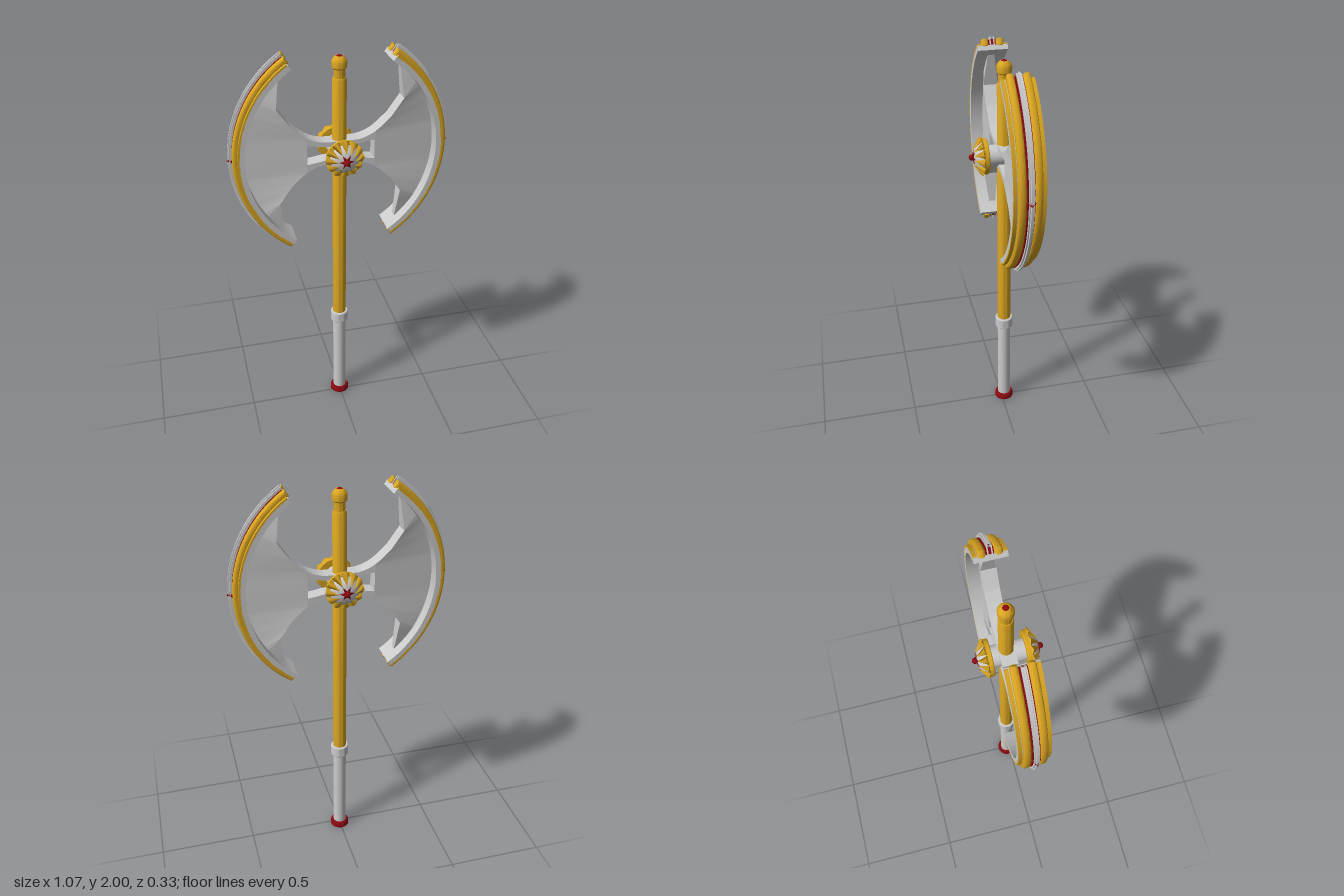
import * as THREE from 'three';
import { toCreasedNormals } from 'three/addons/utils/BufferGeometryUtils.js';

const grey = new THREE.MeshStandardMaterial({ color: 0xcccccc });
const gold = new THREE.MeshStandardMaterial({ color: 0xdaa520 });
const red = new THREE.MeshStandardMaterial({ color: 0x8b0a10 });

const Z0 = -0.016;      // centre plane of shaft and blades
const HUB = 1.51;       // height of the hub
const ARC_X = -0.067;   // centre of the blade's cutting arc
const ARC_R = 0.597;
const V = (r, y) => new THREE.Vector2(r, y);
const rad = THREE.MathUtils.degToRad;

function add(parent, name, geometry, material, x = 0, y = 0, z = 0) {
  const mesh = new THREE.Mesh(geometry, material);
  mesh.name = name;
  mesh.position.set(x, y, z);
  parent.add(mesh);
  return mesh;
}

function lathe(points, segments = 32) {
  return toCreasedNormals(new THREE.LatheGeometry(points.map(p => V(...p)), segments), 0.6);
}

// Curved strip following the cutting arc, between two radii and two depths
function arcStrip(r0, r1, z0, z1, degrees, bevel = 0) {
  const a = rad(degrees);
  const shape = new THREE.Shape();
  shape.absarc(0, 0, r1 - bevel, -a, a, false);
  shape.absarc(0, 0, r0 + bevel, a, -a, true);
  shape.closePath();
  const g = new THREE.ExtrudeGeometry(shape, {
    depth: z1 - z0 - 2 * bevel, curveSegments: 32, bevelEnabled: bevel > 0,
    bevelSize: bevel, bevelThickness: bevel, bevelSegments: 3,
  });
  return toCreasedNormals(g.translate(ARC_X, 0, z0 + bevel), 0.6);
}

// Blade: thick inner outline lofted to a thin cutting edge
function bladeGeometry() {
  // x, y, half thickness, angle on the arc
  const half = [
    [0.268, 0.49, 0.004, 55.6], [0.3, 0.24, 0.036, 33], [0.24, 0.155, 0.036, 23],
    [0.195, 0.113, 0.036, 16], [0.163, 0.088, 0.036, 10],
  ];
  const keys = [...half, ...half.map(([x, y, h, a]) => [x, -y, h, -a]).reverse()];
  const pos = [], index = [];
  const steps = 5;
  let rows = 0;
  for (let k = 0; k < keys.length - 1; k++) {
    for (let s = k ? 1 : 0; s <= steps; s++) {
      const [x, y, h, deg] = keys[k].map((v, i) => THREE.MathUtils.lerp(v, keys[k + 1][i], s / steps));
      const ox = ARC_X + ARC_R * Math.cos(rad(deg)), oy = ARC_R * Math.sin(rad(deg));
      pos.push(x, y, h, ox, oy, 0.004, ox, oy, -0.004, x, y, -h);
      rows++;
    }
  }
  for (let i = 0; i < rows - 1; i++) {
    for (let j = 0; j < 4; j++) {
      const a = i * 4 + j, b = i * 4 + (j + 1) % 4;
      index.push(a, a + 4, b, b, a + 4, b + 4);
    }
  }
  const g = new THREE.BufferGeometry();
  g.setAttribute('position', new THREE.Float32BufferAttribute(pos, 3));
  g.setIndex(index);
  return toCreasedNormals(g, 0.5);
}

// Curved arm joining the hub to one corner of the blade neck
function armGeometry() {
  const s = new THREE.Shape();
  s.moveTo(0, 0.055);
  s.lineTo(0.08, 0.058);
  s.quadraticCurveTo(0.125, 0.064, 0.165, 0.09);
  s.lineTo(0.165, 0.048);
  s.quadraticCurveTo(0.12, 0.043, 0.08, 0.035);
  s.lineTo(0, 0.03);
  s.closePath();
  return new THREE.ExtrudeGeometry(s, { depth: 0.072, bevelEnabled: false }).translate(0, 0, -0.036);
}

function bladeSide() {
  const side = new THREE.Group();
  add(side, 'blade', bladeGeometry(), grey);
  const arm = armGeometry();
  add(side, 'upperArm', arm, grey);
  add(side, 'lowerArm', arm, grey).rotation.x = Math.PI;

  // Rim: wide band, outer skins, raised ribs and a centre core
  add(side, 'rimBand', arcStrip(0.525, 0.55, -0.0725, 0.0725, 55.5), grey);
  add(side, 'rimCore', arcStrip(0.545, 0.578, -0.017, 0.017, 55), red);
  for (const s of [-1, 1]) {
    const z = (a, b) => s > 0 ? [a, b] : [-b, -a];
    add(side, 'rimSkin', arcStrip(0.548, 0.558, ...z(0.056, 0.0725), 55), gold);
    add(side, 'rimRib', arcStrip(0.545, 0.58, ...z(0.019, 0.053), 55, 0.011), gold);
    add(side, 'edgeGuard', arcStrip(0.545, 0.59, ...z(0.006, 0.012), 55.3), grey);
  }
  const gem = add(side, 'edgeGem', new THREE.OctahedronGeometry(1).toNonIndexed(), red, 0.505);
  gem.scale.set(0.03, 0.04, 0.024);
  return side;
}

// Domed hub cap, built along +y
function hubCap() {
  const cap = new THREE.Group();
  add(cap, 'capRing', lathe([[0, 0], [0.083, 0], [0.086, 0.004], [0.086, 0.023], [0.08, 0.028],
    [0.074, 0.028], [0.07, 0.022]]), gold);
  add(cap, 'capDome', lathe([[0.076, 0.02], [0.068, 0.036], [0.055, 0.05], [0.036, 0.06],
    [0.018, 0.064], [0, 0.065]]), grey);
  const petalCount = 12;
  for (let i = 0; i < petalCount; i++) {
    // Gold petals climb the dome
    const holder = new THREE.Group();
    holder.name = 'petal';
    holder.rotation.y = (i / petalCount) * Math.PI * 2;
    const petal = add(holder, 'petalSpike', new THREE.ConeGeometry(0.021, 0.064, 4), gold, 0.063, 0.044, 0);
    petal.rotation.z = 0.82;
    petal.scale.x = 0.5;
    cap.add(holder);
  }
  for (let i = 0; i < 6; i++) {
    // Red star around the centre gem
    const holder = new THREE.Group();
    holder.name = 'starPoint';
    holder.rotation.y = (i / 6) * Math.PI * 2;
    const point = add(holder, 'starSpike', new THREE.ConeGeometry(0.011, 0.036, 4), red, 0.02, 0.064, 0);
    point.rotation.z = -Math.PI / 2 - 0.2;
    point.scale.x = 0.5;
    cap.add(holder);
  }
  add(cap, 'capGem', new THREE.SphereGeometry(0.014, 16, 12), red, 0, 0.073, 0);
  return cap;
}

export function createModel() {
  const model = new THREE.Group();
  model.name = 'doubleAxe';

  // Shaft, from pommel to finial
  add(model, 'pommel', lathe([[0, 0], [0.05, 0], [0.05, 0.018], [0.044, 0.03], [0, 0.03]]), red, 0, 0, Z0);
  add(model, 'grip', new THREE.CylinderGeometry(0.034, 0.034, 0.5, 32), grey, 0, 0.275, Z0);
  add(model, 'collar', lathe([[0.03, 0.5], [0.043, 0.5], [0.046, 0.504], [0.046, 0.555], [0.043, 0.559],
    [0.03, 0.559]]), grey, 0, 0, Z0);
  add(model, 'shaft', lathe([[0.034, 0.52], [0.034, 1.855], [0.03, 1.865], [0, 1.865]]), gold, 0, 0, Z0);
  add(model, 'finial', lathe([[0.027, 1.86], [0.027, 1.905], [0.035, 1.912], [0.036, 1.94], [0.03, 1.953],
    [0.018, 1.964], [0, 1.966]]), gold, 0, 0, Z0);
  add(model, 'finialGem', new THREE.SphereGeometry(0.017, 16, 8), red, 0, 1.96, Z0).scale.y = 0.5;

  // Two blades, one turned half a circle about the shaft
  for (const [name, turn] of [['leftBlade', 0], ['rightBlade', Math.PI]]) {
    const side = bladeSide();
    side.name = name;
    side.position.set(0, HUB, Z0);
    side.rotation.y = turn;
    model.add(side);
  }

  // Hub barrel and its two caps
  add(model, 'hubBarrel', new THREE.CylinderGeometry(0.051, 0.051, 0.16, 32).rotateX(Math.PI / 2), grey, 0, HUB, -0.01);
  for (const [name, z, s] of [['frontCap', 0.068, 1], ['backCap', -0.085, -1]]) {
    const cap = hubCap();
    cap.name = name;
    cap.position.set(0, HUB, z);
    cap.rotation.x = s * Math.PI / 2;
    model.add(cap);
  }
  return model;
}
